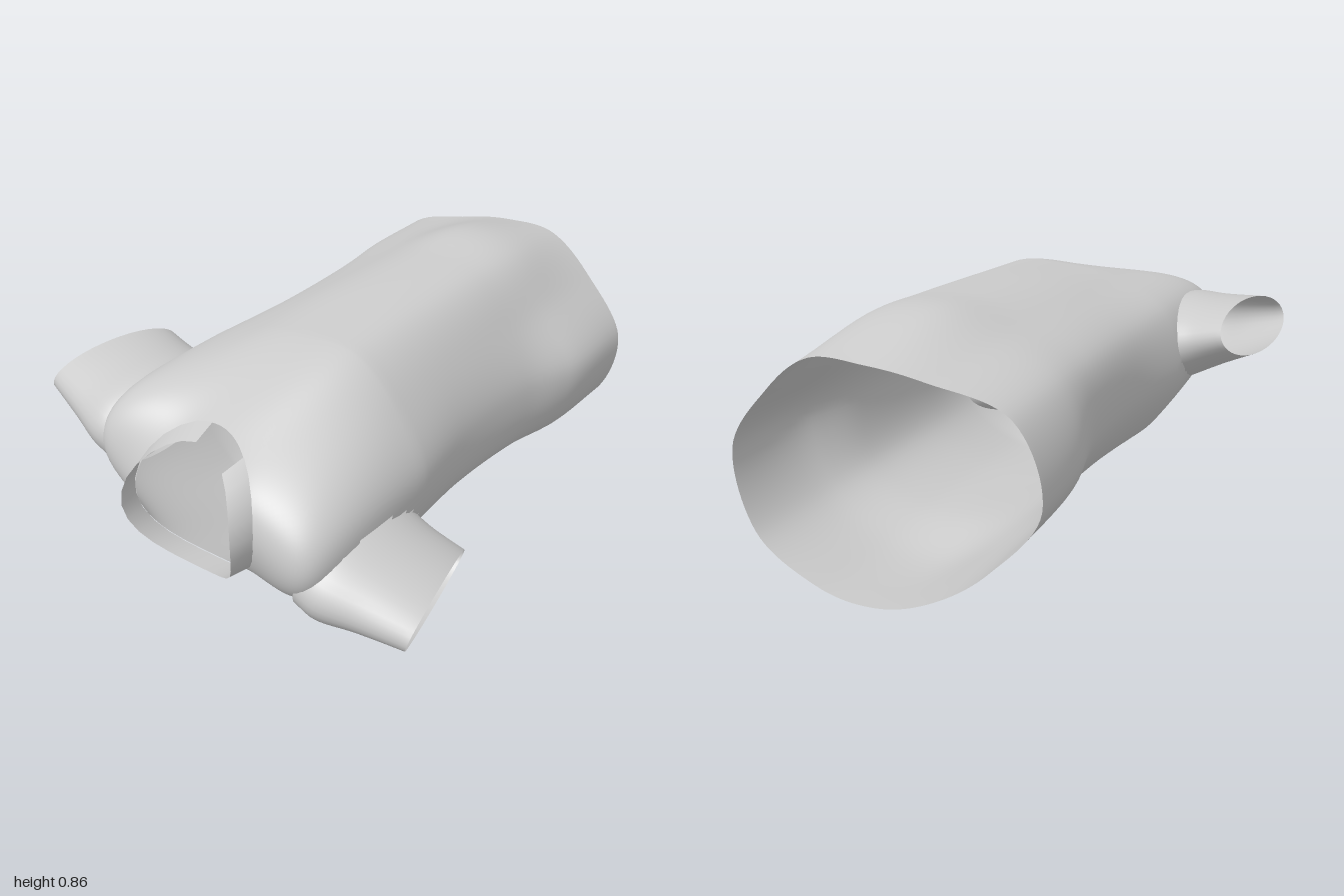
import * as THREE from 'three';

const V = (x, y, z) => new THREE.Vector3(x, y, z);
const TAU = Math.PI * 2;
const material = new THREE.MeshStandardMaterial({ color: 0xcccccc, side: THREE.DoubleSide });

// Surface from a rule point(u, v); skip(p) leaves an opening; closed joins u = 1 to u = 0
function loft(name, point, nu, nv, { closed = true, skip = () => false } = {}) {
  const pts = [], index = [];
  const cols = closed ? nu : nu + 1;
  for (let j = 0; j <= nv; j++) for (let i = 0; i < cols; i++) pts.push(point(i / nu, j / nv));
  for (let j = 0; j < nv; j++) {
    for (let i = 0; i < nu; i++) {
      const a = j * cols + i, b = j * cols + (i + 1) % cols, c = a + cols, d = b + cols;
      const mid = pts[a].clone().add(pts[d]).multiplyScalar(0.5);
      if (!skip(mid)) index.push(a, b, c, b, d, c);
    }
  }
  const geo = new THREE.BufferGeometry().setFromPoints(pts);
  geo.setIndex(index);
  geo.computeVertexNormals();
  const mesh = new THREE.Mesh(geo, material);
  mesh.name = name;
  return mesh;
}

// Torso sections from hem to chest: radius every 30 degrees about the middle
const CX = 0.01, CY = 0.43;
const sections = [
  { z: -1.00, r: [0.54, 0.44, 0.405, 0.36, 0.385, 0.515, 0.53, 0.43, 0.395, 0.405, 0.45, 0.535] },
  { z: -0.65, r: [0.535, 0.44, 0.455, 0.433, 0.415, 0.505, 0.505, 0.42, 0.39, 0.42, 0.455, 0.525] },
  { z: -0.36, r: [0.46, 0.425, 0.45, 0.422, 0.415, 0.475, 0.44, 0.39, 0.375, 0.37, 0.415, 0.48] },
  { z: 0.00, r: [0.44, 0.42, 0.435, 0.405, 0.41, 0.46, 0.43, 0.39, 0.375, 0.375, 0.41, 0.46] },
  { z: 0.35, r: [0.475, 0.43, 0.42, 0.375, 0.395, 0.475, 0.475, 0.42, 0.385, 0.393, 0.43, 0.475] },
];
const ribs = sections[0].r.map((_, i) => new THREE.CatmullRomCurve3(sections.map(({ z, r }) =>
  V(CX + r[i] * Math.cos(i * TAU / 12), CY + r[i] * Math.sin(i * TAU / 12), z)), false, 'catmullrom', 0.5));

function torsoPoint(u, t) {
  const ring = new THREE.CatmullRomCurve3(ribs.map(rib => rib.getPoint(t)), true, 'catmullrom', 0.5);
  const p = ring.getPoint(u);
  p.z += 0.045 * Math.cos(TAU * u) ** 2 * Math.max(0, 1 - t * 3);
  return p;
}

// Neckline: pushed forward at both shoulders
function neckPoint(u, r, forward) {
  const c = Math.cos(TAU * u), s = Math.sin(TAU * u);
  return V(CX + r * c, CY + r * s, 0.8 + 0.12 * c * c - 0.015 * s + forward);
}

// Shoulders: each outline point curves over to the neckline
const NECK_R = 0.24;
function shoulderPoint(u, t) {
  const a = TAU * u, side = Math.cos(a + 0.3) ** 4;
  const p0 = torsoPoint(u, 1), p3 = neckPoint(u, NECK_R, 0);
  const radial = V(Math.cos(a), Math.sin(a), 0);
  const p1 = p0.clone().addScaledVector(radial, -0.02 * (1 - side));
  p1.z += 0.14 + 0.43 * side;
  const p2 = p3.clone().addScaledVector(radial, 0.05 + 0.2 * side);
  p2.z -= 0.13 * (1 - side);
  return new THREE.CubicBezierCurve3(p0, p1, p2, p3).getPoint(t);
}

// Sleeve rings from armhole to cuff: centre, long half axis, short half axis
const SLEEVE_Y = 0.38;
const rings = [
  { c: V(-0.37, 0.12, 0.615), long: V(0, 0, 0.27), short: V(0.04, 0.155, 0) },
  { c: V(-0.44, 0.15, 0.61), long: V(-0.01, 0, 0.275), short: V(0.04, 0.148, 0) },
  { c: V(-0.54, 0.178, 0.59), long: V(-0.03, 0, 0.255), short: V(0.04, 0.122, 0) },
  { c: V(-0.67, 0.215, 0.56), long: V(-0.05, 0, 0.24), short: V(0.033, 0.098, 0) },
];
const track = key => new THREE.CatmullRomCurve3(rings.map(r => r[key]), false, 'catmullrom', 0.5);
const [centres, longs, shorts] = ['c', 'long', 'short'].map(track);

function sleevePoint(u, t) {
  return centres.getPoint(t)
    .addScaledVector(longs.getPoint(t), Math.cos(TAU * u))
    .addScaledVector(shorts.getPoint(t), -Math.sin(TAU * u));
}

// Opening in the torso wall inside each sleeve
function insideArmhole(p) {
  const side = p.x < 0 ? 1 : -1;
  const y = (p.y - SLEEVE_Y) * side - 0.135;
  return p.x * side < -0.36 && Math.hypot((p.z - 0.61) / 0.25, y / 0.135) < 1;
}

export function createModel() {
  const model = new THREE.Group();
  model.name = 'shirt';

  // Torso and shoulders in one skin
  const split = 0.6;
  model.add(loft('torso', (u, v) => v <= split
    ? torsoPoint(u, v / split)
    : shoulderPoint(u, (v - split) / (1 - split)), 120, 80, { skip: insideArmhole }));

  // Sleeves: the second is the first turned half way round the long axis
  for (const [name, turn] of [['rightSleeve', 0], ['leftSleeve', Math.PI]]) {
    const sleeve = loft(name, sleevePoint, 40, 16);
    sleeve.position.y = SLEEVE_Y;
    sleeve.rotation.z = turn;
    model.add(sleeve);
  }

  // Neck band, open at the upper side
  model.add(loft('collarBand', (u, v) => {
    const a = 0.26 + u * 0.89;
    const lean = 0.02 + 0.012 * Math.sin(TAU * a);
    return neckPoint(a, NECK_R + 0.004 - lean * v, 0.08 * v);
  }, 24, 2, { closed: false }));

  return model;
}
